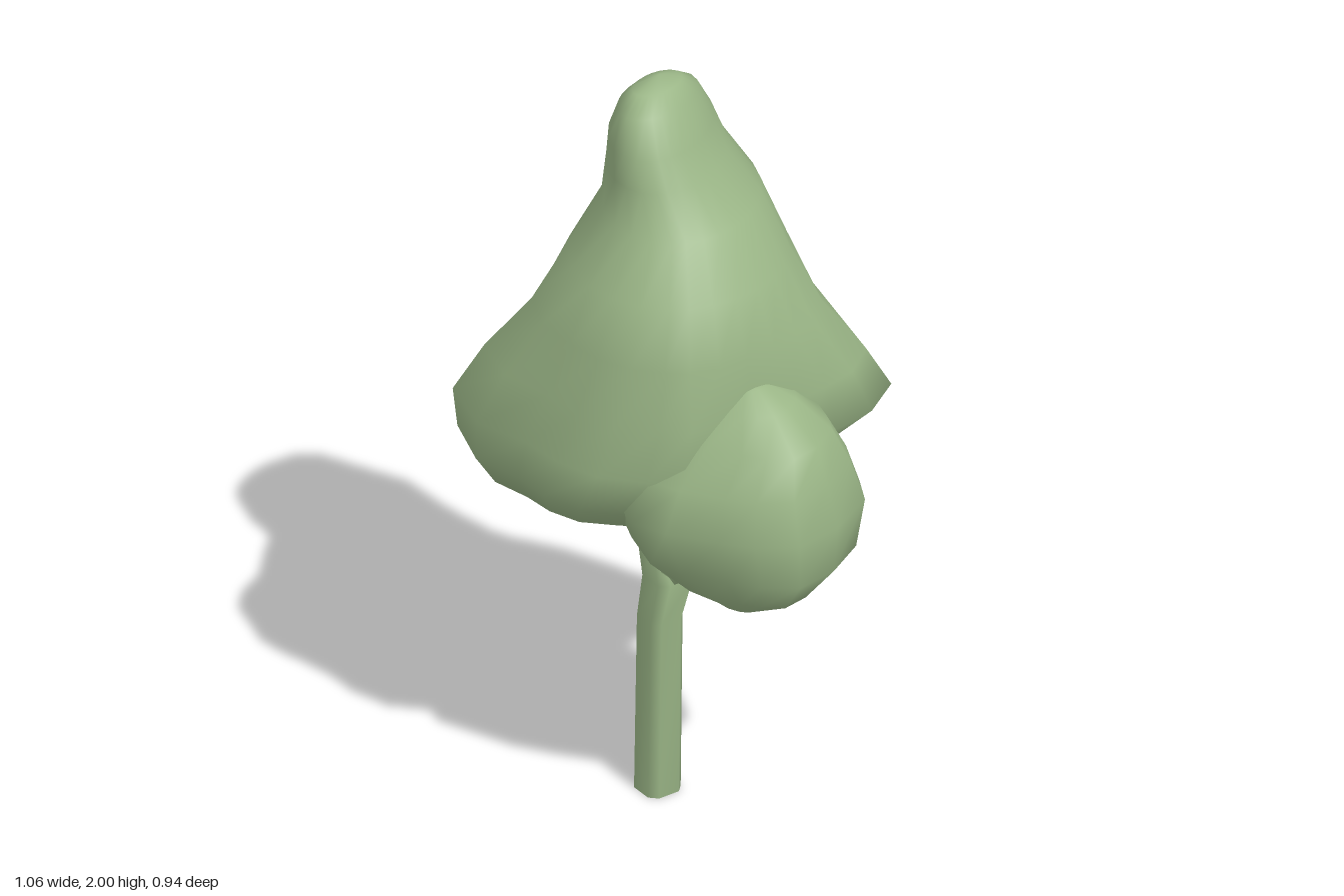
import * as THREE from 'three';

const leafMaterial = new THREE.MeshStandardMaterial({ color: 0x9ab586 });

// Closed smooth loft: each level is [y, xMin, xMax, zMin, zMax, blend, skew].
// blend 1 follows the plan outline, blend 0 is an ellipse; skew stretches the
// section along the x = z diagonal (or across it when negative).
function blob(name, plan, bottom, levels, top) {
  const n = plan.length;
  const xs = plan.map((p) => p[0]), zs = plan.map((p) => p[1]);
  const cx = (Math.max(...xs) + Math.min(...xs)) / 2, hx = (Math.max(...xs) - Math.min(...xs)) / 2;
  const cz = (Math.max(...zs) + Math.min(...zs)) / 2, hz = (Math.max(...zs) - Math.min(...zs)) / 2;
  const pos = [], index = [];
  for (const [y, x0, x1, z0, z1, blend, skew = 0] of levels) {
    const c = Math.sqrt(1 - skew * skew);
    for (const [px, pz] of plan) {
      const u = (px - cx) / hx, v = (pz - cz) / hz;
      const k = blend + (1 - blend) / Math.hypot(u, v);
      const su = k * (c * u + skew * v), sv = k * (c * v + skew * u);
      pos.push((x0 + x1) / 2 + su * (x1 - x0) / 2, y, (z0 + z1) / 2 + sv * (z1 - z0) / 2);
    }
  }
  const last = (levels.length - 1) * n, low = levels.length * n, high = low + 1;
  pos.push(...bottom, ...top);
  for (let j = 0; j < n; j++) {
    const k = (j + 1) % n;
    for (let i = 0; i < last; i += n) {
      index.push(i + j, i + n + j, i + k, i + k, i + n + j, i + n + k);
    }
    index.push(low, j, k, last + j, high, last + k);
  }
  const geometry = new THREE.BufferGeometry();
  geometry.setAttribute('position', new THREE.Float32BufferAttribute(pos, 3));
  geometry.setIndex(index);
  geometry.computeVertexNormals();
  const mesh = new THREE.Mesh(geometry, leafMaterial);
  mesh.name = name;
  return mesh;
}

// Limb of chamfered square section through level rings [x, y, z, half width]
function limb(name, rings) {
  const section = [[1, -0.6], [1, 0.6], [0.6, 1], [-0.6, 1], [-1, 0.6], [-1, -0.6], [-0.6, -1], [0.6, -1]];
  const levels = rings.map(([x, y, z, r]) => [y, x - r, x + r, z - r, z + r, 1]);
  return blob(name, section, rings[0].slice(0, 3), levels, rings[rings.length - 1].slice(0, 3));
}

export function createModel() {
  const model = new THREE.Group();

  // Large tapering crown
  const crownPlan = [
    [-0.53, 0.07], [-0.52, -0.05], [-0.45, -0.18], [-0.34, -0.3], [-0.21, -0.38], [-0.08, -0.43],
    [0.05, -0.475], [0.18, -0.455], [0.26, -0.34], [0.285, -0.22], [0.3, -0.1], [0.29, 0.02],
    [0.3, 0.13], [0.295, 0.25], [0.23, 0.31], [0.14, 0.39], [0.02, 0.425], [-0.1, 0.43],
    [-0.25, 0.47], [-0.42, 0.42], [-0.44, 0.33], [-0.5, 0.2],
  ];
  model.add(blob('mainCrown', crownPlan, [-0.18, 0.8, 0], [
    [0.815, -0.38, 0.02, -0.22, 0.22, 0.5],
    [0.88, -0.49, 0.09, -0.33, 0.39, 0.85],
    [0.98, -0.535, 0.2, -0.42, 0.46, 0.95, 0.02],
    [1.1, -0.515, 0.29, -0.47, 0.465, 1, -0.03],
    [1.24, -0.445, 0.3, -0.39, 0.415, 0.8, -0.05],
    [1.4, -0.36, 0.285, -0.31, 0.365, 0.4, 0],
    [1.55, -0.32, 0.238, -0.265, 0.302, 0.05, 0.04],
    [1.67, -0.31, 0.13, -0.25, 0.2, 0, 0.12],
    [1.78, -0.3, 0.055, -0.19, 0.18, 0, 0.18],
    [1.86, -0.28, 0.02, -0.16, 0.175, 0, 0.2],
    [1.95, -0.205, -0.03, -0.1, 0.15, 0, 0.15],
    [1.985, -0.165, -0.075, -0.05, 0.1, 0, 0.1],
  ], [-0.13, 2, 0.01]));

  // Smaller rounded crown on the side branch
  const sidePlan = [
    [0.53, 0.06], [0.47, 0.15], [0.4, 0.21], [0.29, 0.29], [0.2, 0.33], [0.06, 0.29], [-0.03, 0.19],
    [-0.05, 0.02], [-0.01, -0.14], [0.1, -0.23], [0.26, -0.27], [0.36, -0.24], [0.44, -0.2], [0.51, -0.07],
  ];
  model.add(blob('sideCrown', sidePlan, [0.29, 0.7, 0.06], [
    [0.715, 0.22, 0.35, -0.01, 0.11, 0],
    [0.77, 0.1, 0.45, -0.13, 0.19, 1],
    [0.86, -0.02, 0.515, -0.24, 0.28, 1],
    [0.99, -0.05, 0.53, -0.27, 0.33, 1],
    [1.1, 0, 0.5, -0.23, 0.285, 1],
    [1.2, 0.06, 0.467, -0.17, 0.195, 0.9],
    [1.27, 0.13, 0.37, -0.1, 0.12, 0.4],
    [1.31, 0.2, 0.3, -0.03, 0.06, 0],
  ], [0.25, 1.32, 0.02]));

  // Trunk bending into its main branch
  model.add(limb('trunk', [
    [-0.07, 0, 0.06, 0.049], [-0.06, 0.5, 0.06, 0.048], [-0.03, 0.63, 0.055, 0.055],
    [-0.064, 0.72, 0.05, 0.052], [-0.105, 0.83, 0.04, 0.05], [-0.135, 0.9, 0.04, 0.045],
  ]));

  // Side branch reaching into the smaller crown
  const branch = new THREE.TubeGeometry(new THREE.CatmullRomCurve3([
    new THREE.Vector3(-0.03, 0.63, 0.055), new THREE.Vector3(0.02, 0.685, 0.05),
    new THREE.Vector3(0.12, 0.737, 0.05), new THREE.Vector3(0.24, 0.8, 0.04),
  ]), 6, 0.046, 6);
  const sideBranch = new THREE.Mesh(branch, leafMaterial);
  sideBranch.name = 'sideBranch';
  model.add(sideBranch);

  return model;
}
